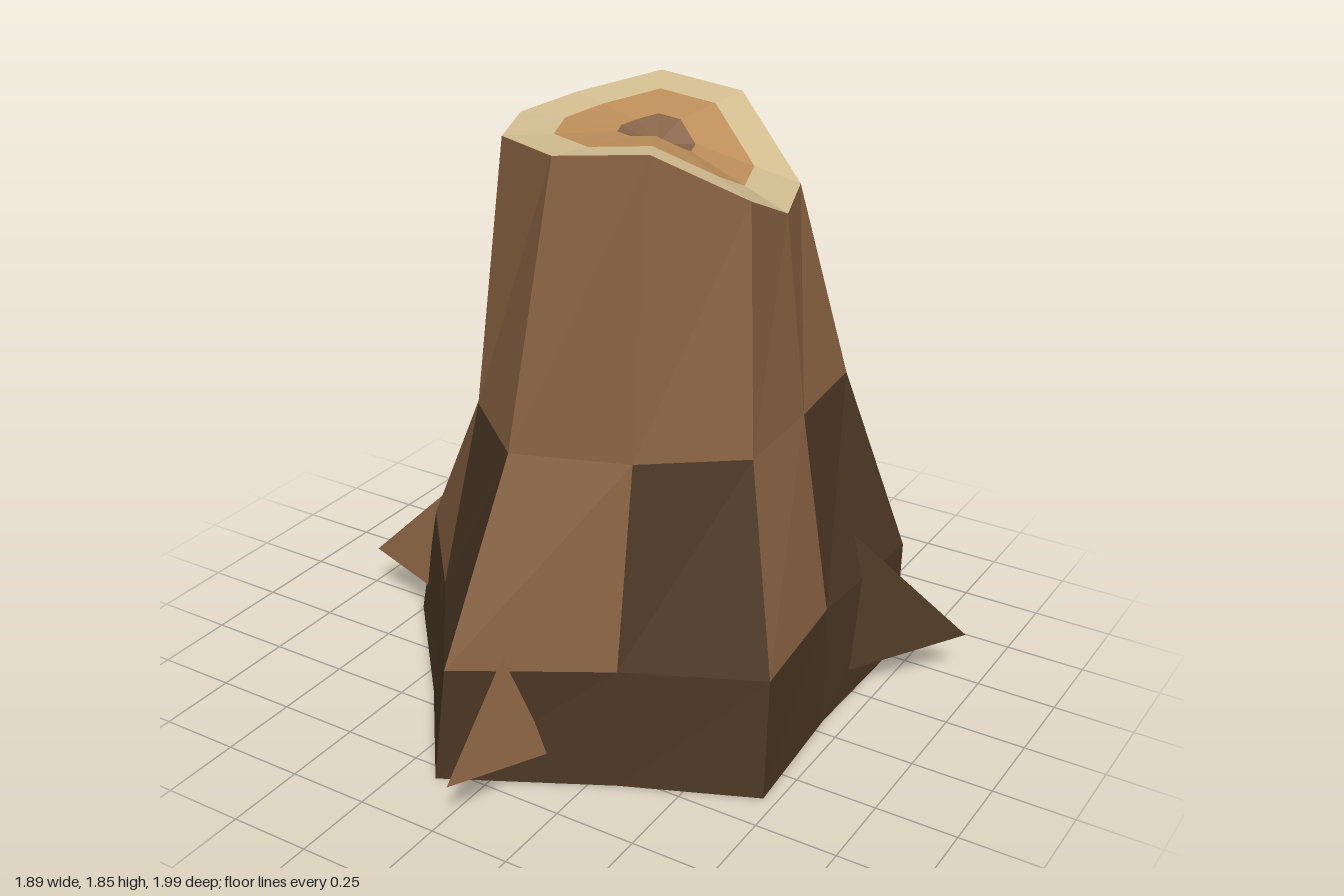
import * as THREE from 'three';

const mat = (name, color, side = THREE.FrontSide) =>
  Object.assign(new THREE.MeshStandardMaterial({ color, flatShading: true, side }), { name });

// Flat-sided mesh from a list of triangles
function facetMesh(name, triangles, material) {
  const geometry = new THREE.BufferGeometry();
  geometry.setAttribute('position', new THREE.Float32BufferAttribute(triangles.flat(2), 3));
  geometry.computeVertexNormals();
  const mesh = new THREE.Mesh(geometry, material);
  mesh.name = name;
  return mesh;
}

const quad = (a, b, c, d) => [[a, b, c], [a, c, d]];

// Faces between two rings, kept where keep(i) is true
function band(lower, upper, keep = () => true) {
  return lower.flatMap((p, i) => {
    const j = (i + 1) % lower.length;
    return keep(i) ? quad(p, lower[j], upper[j], upper[i]) : [];
  });
}

const level = (y, points) => points.map(([x, z]) => [x, y, z]);

// Trunk cross-sections, ten corners each, starting at the front
const ground = level(0, [[-0.14, 0.8], [0.325, 0.55], [0.71, 0.38], [0.68, -0.06], [0.69, -0.55],
  [0.2, -0.63], [-0.22, -0.715], [-0.45, -0.36], [-0.76, 0.05], [-0.42, 0.44]]);
const flare = level(0.385, [[-0.09, 0.8], [0.325, 0.55], [0.71, 0.365], [0.67, -0.065], [0.695, -0.55],
  [0.2, -0.62], [-0.22, -0.7], [-0.42, -0.3], [-0.68, 0.06], [-0.38, 0.41]]);
const middle = level(1, [[0, 0.59], [0.325, 0.47], [0.585, 0.27], [0.57, -0.06], [0.54, -0.395],
  [0.17, -0.49], [-0.16, -0.5], [-0.3, -0.22], [-0.42, 0.06], [-0.26, 0.37]]);
const rim = [[0.07, 1.82, 0.46], [0.33, 1.85, 0.4], [0.53, 1.71, 0.22], [0.51, 1.6, -0.03], [0.42, 1.6, -0.28],
  [0.17, 1.81, -0.38], [-0.09, 1.84, -0.36], [-0.23, 1.81, -0.12], [-0.27, 1.8, 0.11], [-0.18, 1.8, 0.33]];

// Rim shrunk towards the middle of the cut
const heart = [0.13, 1.79, 0.03];
const shrink = (t) => rim.map((p) => p.map((v, k) => heart[k] + (v - heart[k]) * t));

// Three-sided root spur: tip, inward direction and half width per unit of length
const spurs = [
  { name: 'frontRoot', tip: [0.05, 0.99], inward: [0.01, -1], width: 0.27 },
  { name: 'leftRoot', tip: [0.945, -0.5], inward: [-0.81, 0.59], width: 0.2 },
  { name: 'backRoot', tip: [-0.17, -1], inward: [0.25, 0.97], width: 0.3 },
  { name: 'rightRoot', tip: [-0.95, 0.04], inward: [1, -0.07], width: 0.27 },
];

function spur({ name, tip: [x, z], inward: [ix, iz], width }, bark, darkBark) {
  const length = 0.55, tip = [x, 0.16, z];
  const at = (rise, side) => [x + length * (ix + iz * side), 0.16 + length * rise, z + length * (iz - ix * side)];
  const top = at(1, 0), a = at(-0.17, width), b = at(-0.17, -width);
  const root = new THREE.Group();
  root.name = name;
  root.add(
    facetMesh('rootLightFaces', [[tip, top, b], [tip, b, a]], bark),
    facetMesh('rootDarkFaces', [[tip, a, top], [top, a, b]], darkBark),
  );
  return root;
}

export function createModel() {
  const bark = mat('bark', 0x8a6342, THREE.DoubleSide);
  const darkBark = mat('dark bark', 0x4d3825, THREE.DoubleSide);
  const sapwood = mat('sapwood', 0xd6c093);
  const heartwood = mat('heartwood', 0xc0915c);
  const pith = mat('pith', 0x866347);

  const stump = new THREE.Group();
  stump.name = 'treeStump';

  // Trunk: light above, alternating panels, dark base, open underneath
  stump.add(
    facetMesh('upperBark', [...band(middle, rim), ...band(flare, middle, (i) => i % 2 === 0)], bark),
    facetMesh('lowerBark', [...band(ground, flare), ...band(flare, middle, (i) => i % 2 === 1)], darkBark),
  );

  // Cut surface with growth rings
  const outer = shrink(0.67), inner = shrink(0.26);
  const dip = [0.13, 1.75, 0.03];
  stump.add(
    facetMesh('sapwoodRing', band(rim, outer), sapwood),
    facetMesh('heartwoodRing', band(outer, inner), heartwood),
    facetMesh('pithCore', inner.map((p, i) => [dip, p, inner[(i + 1) % inner.length]]), pith),
  );

  // Roots
  for (const s of spurs) stump.add(spur(s, bark, darkBark));
  return stump;
}
